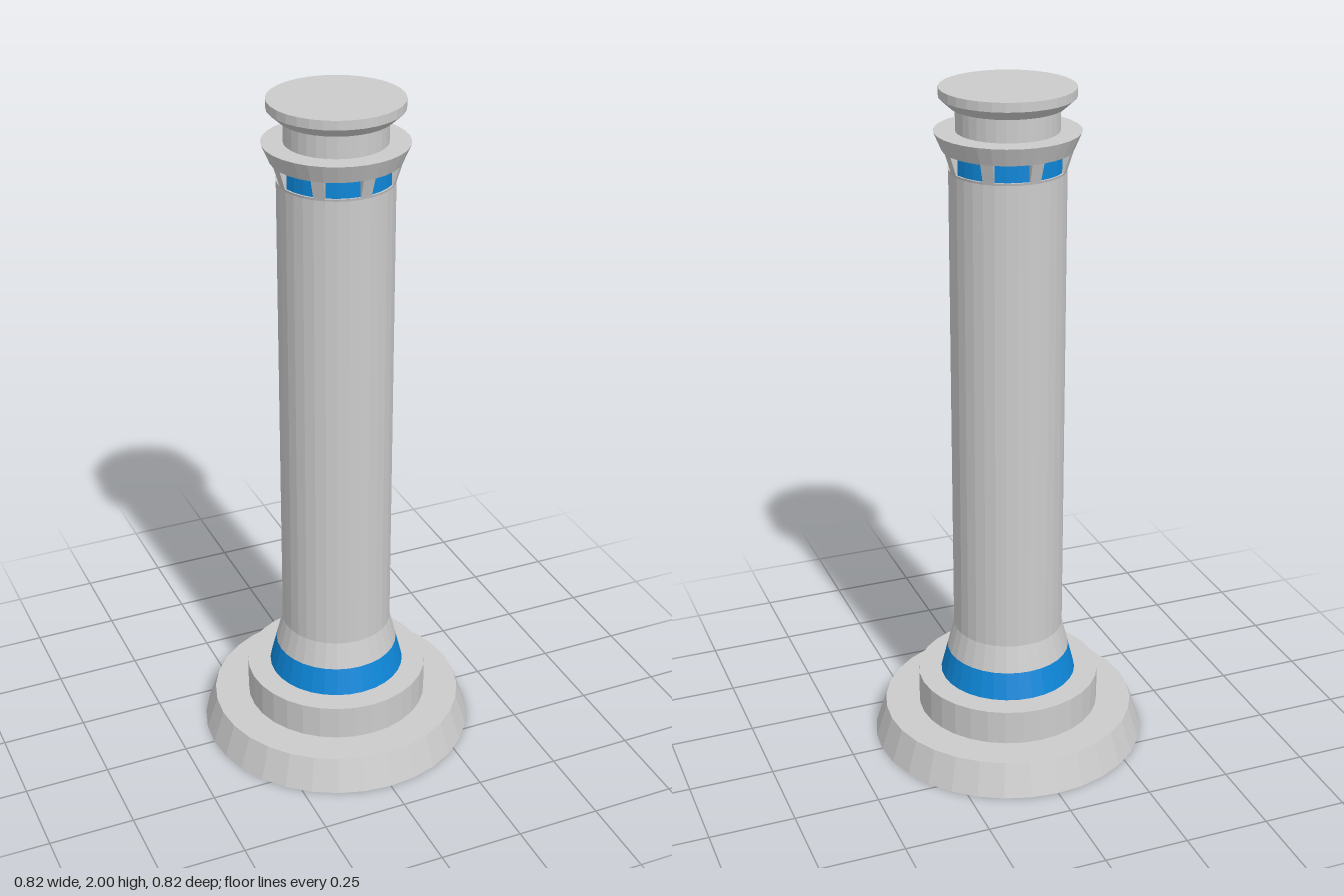
import * as THREE from 'three';

const SIDES = 32;
const STEP = (Math.PI * 2) / SIDES;

const grey = new THREE.MeshStandardMaterial({ color: 0xcccccc, flatShading: true });
const blue = new THREE.MeshStandardMaterial({ color: 0x0d86d8, flatShading: true });

// Faceted turned part from [radius, height] pairs, listed bottom to top
function turned(name, profile, material = grey) {
  const points = profile.map(([r, y]) => new THREE.Vector2(r, y));
  const mesh = new THREE.Mesh(new THREE.LatheGeometry(points, SIDES), material);
  mesh.name = name;
  return mesh;
}

// Window post: a box bent to one facet, its outer face leaning out with the collar
function windowPost(y0, y1, inner, outerBottom, outerTop) {
  const geometry = new THREE.BoxGeometry(1, 1, 1);
  const p = geometry.attributes.position;
  for (let i = 0; i < p.count; i++) {
    const angle = (p.getX(i) + 0.5) * STEP;
    const top = p.getY(i) > 0;
    const r = p.getZ(i) < 0 ? inner : top ? outerTop : outerBottom;
    p.setXYZ(i, Math.sin(angle) * r, top ? y1 : y0, Math.cos(angle) * r);
  }
  geometry.computeVertexNormals();
  return geometry;
}

export function createModel() {
  const model = new THREE.Group();
  model.name = 'column';

  // Stepped foot
  model.add(turned('base', [[0, 0], [0.408, 0], [0.375, 0.1], [0, 0.1]]));
  model.add(turned('plinth', [[0.272, 0.1], [0.272, 0.205], [0, 0.205]]));

  // Flared foot of the shaft with its coloured band
  model.add(turned('footBand', [[0.203, 0.205], [0.183, 0.285]], blue));
  model.add(turned('shaft', [[0.183, 0.285], [0.163, 0.365], [0.163, 1.77]]));

  // Collar: sill, recessed window ring, posts and flared rim
  const sillY = 1.777, headY = 1.829;
  model.add(turned('windowSill', [[0.163, 1.77], [0.165, sillY], [0.15, sillY]]));
  model.add(turned('windowRing', [[0.16, sillY], [0.16, headY]], blue));
  model.add(turned('collarRim', [[0.15, headY], [0.181, headY], [0.203, 1.88], [0.13, 1.88]]));

  const posts = new THREE.Group();
  posts.name = 'windowPosts';
  const postGeometry = windowPost(sillY, headY, 0.15, 0.165, 0.181);
  for (let i = 0; i < 8; i++) {
    const post = new THREE.Mesh(postGeometry, grey);
    post.name = 'windowPost';
    post.rotation.y = (i * Math.PI) / 4;
    posts.add(post);
  }
  model.add(posts);

  // Neck and cap
  model.add(turned('neck', [[0.143, 1.88], [0.143, 1.947]]));
  model.add(turned('cap', [[0.13, 1.947], [0.158, 1.947], [0.188, 1.974], [0.188, 2], [0, 2]]));

  return model;
}
